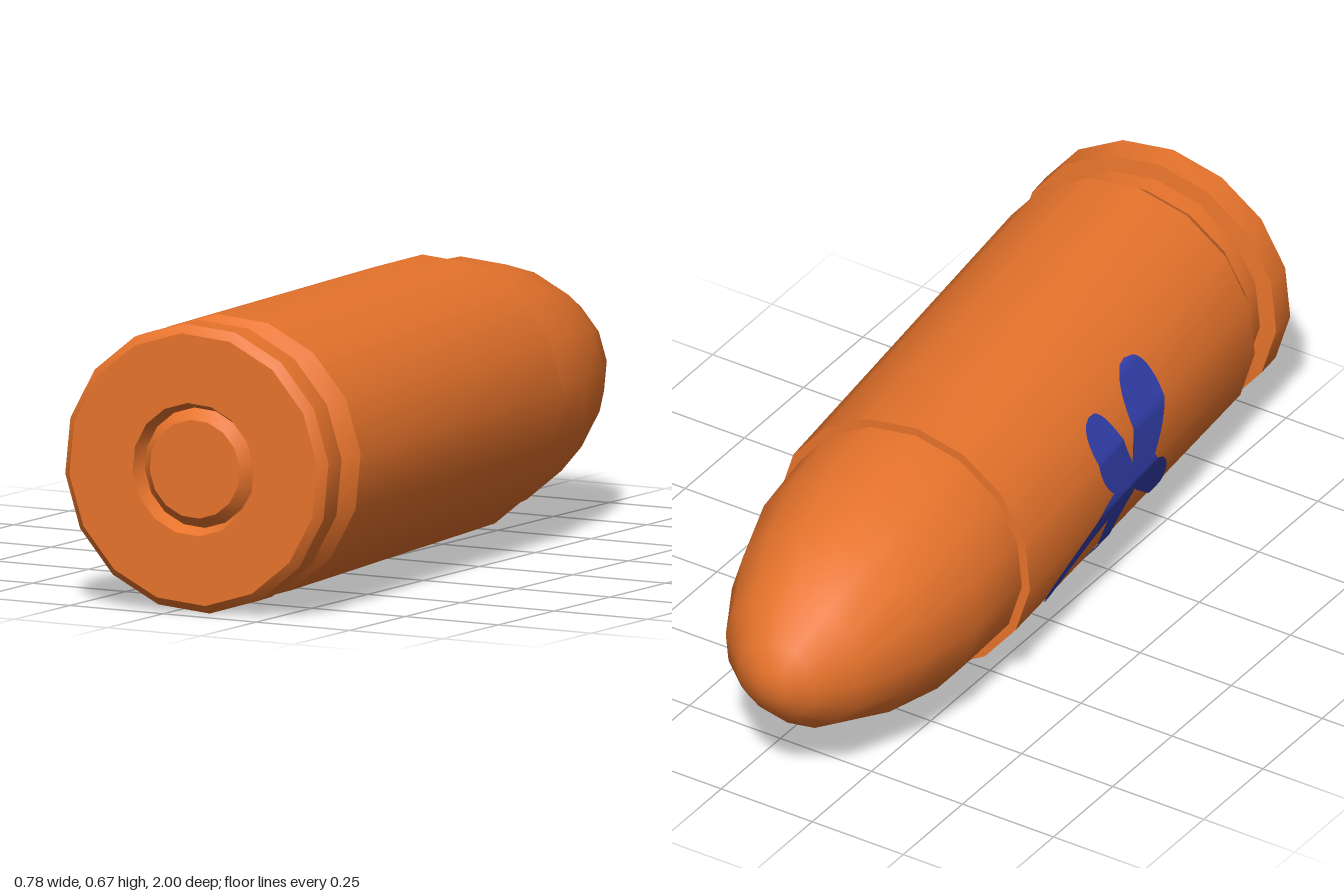
import * as THREE from 'three';
import { toCreasedNormals } from 'three/addons/utils/BufferGeometryUtils.js';

const SIDES = 16;
const STEP = (Math.PI * 2) / SIDES;
const START = THREE.MathUtils.degToRad(16.9); // turns the corners of the polygon

// Radius of the case at distance t from the base
const caseRadius = (t) => THREE.MathUtils.mapLinear(t, 0.195, 1.3, 0.336, 0.327);

function turned(name, profile, crease, material) {
  const points = profile.map(([r, t]) => new THREE.Vector2(r, t));
  const geometry = new THREE.LatheGeometry(points, SIDES, START);
  const mesh = new THREE.Mesh(toCreasedNormals(geometry, crease), material);
  mesh.name = name;
  return mesh;
}

// Point just above the faceted case, from axial distance and arc height
function onCase(t, arc) {
  const angle = Math.PI - arc / 0.33;
  const phi = Math.PI / 2 - angle - START;
  const inFacet = phi - Math.floor(phi / STEP) * STEP - STEP / 2;
  const r = (caseRadius(t) * Math.cos(STEP / 2)) / Math.cos(inFacet) + 0.004;
  return [r * Math.cos(angle), t, r * Math.sin(angle)];
}

// Thin painted band wrapped on the case, following a path of [t, arc]
function paintedBand(name, path, width, material) {
  const curve = new THREE.SplineCurve(path.map((p) => new THREE.Vector2(...p)));
  const along = 28, across = 8;
  const positions = [], index = [];
  for (let i = 0; i <= along; i++) {
    const u = i / along;
    const p = curve.getPoint(u);
    const d = curve.getTangent(u);
    const half = width(u);
    for (let j = 0; j <= across; j++) {
      const k = ((j / across) * 2 - 1) * half;
      positions.push(...onCase(p.x - d.y * k, p.y + d.x * k));
      if (i < along && j < across) {
        const a = i * (across + 1) + j, b = a + across + 1;
        index.push(a, b, a + 1, b, b + 1, a + 1);
      }
    }
  }
  const geometry = new THREE.BufferGeometry();
  geometry.setAttribute('position', new THREE.Float32BufferAttribute(positions, 3));
  geometry.setIndex(index);
  geometry.computeVertexNormals();
  const mesh = new THREE.Mesh(geometry, material);
  mesh.name = name;
  return mesh;
}

export function createModel() {
  const copper = new THREE.MeshStandardMaterial({ color: 0xe8742c });
  copper.name = 'copper';
  const blue = new THREE.MeshStandardMaterial({ color: 0x3441b0, side: THREE.DoubleSide });
  blue.name = 'blue paint';

  const model = new THREE.Group();
  model.name = 'cartridge';

  // Base button in its recess
  model.add(turned('primer', [[0, 0.008], [0.115, 0.008], [0.14, 0.035]], 0.4, copper));

  // Rim, groove and slightly tapered case
  model.add(turned('case', [
    [0.14, 0.035], [0.155, 0], [0.317, 0], [0.337, 0.02], [0.337, 0.09],
    [0.297, 0.095], [0.297, 0.145], [0.336, 0.195], [0.327, 1.3], [0.3, 1.3],
  ], 0.5, copper));

  // Rounded nose
  model.add(turned('nose', [
    [0.306, 1.295], [0.296, 1.5], [0.25, 1.683], [0.179, 1.85],
    [0.098, 1.94], [0.04, 1.97], [0, 1.974],
  ], 0.9, copper));

  // Blue splash on the right side: two lobes up, three strokes down
  const splash = new THREE.Group();
  splash.name = 'paintSplash';
  const lobe = (w) => (u) => 0.024 * (1 - u) + w * Math.sqrt(Math.max(0, Math.sin(Math.PI * u ** 1.5)));
  const taper = (w) => (u) => w * Math.sqrt(1 - u) + 0.002;
  const oval = (w) => (u) => w * Math.sqrt(Math.max(0, Math.sin(Math.PI * u)));
  splash.add(
    paintedBand('middle', [[0.68, -0.035], [0.8, -0.03], [0.98, -0.055]], oval(0.036), blue),
    paintedBand('rearLobe', [[0.77, -0.03], [0.7, 0.09], [0.685, 0.24]], lobe(0.066), blue),
    paintedBand('frontLobe', [[0.81, -0.03], [0.875, 0.07], [0.9, 0.203]], lobe(0.05), blue),
    paintedBand('frontStroke', [[0.86, -0.04], [0.98, -0.075], [1.17, -0.157]], taper(0.034), blue),
    paintedBand('middleStroke', [[0.82, -0.04], [0.87, -0.13], [0.89, -0.265]], taper(0.05), blue),
    paintedBand('rearStroke', [[0.77, -0.03], [0.67, -0.09], [0.595, -0.165]], lobe(0.036), blue),
  );
  model.add(splash);

  // Lay the body down, nose to the back and slightly turned
  model.rotation.set(-Math.PI / 2 - 0.003, THREE.MathUtils.degToRad(5.6), 0, 'YXZ');
  model.position.set(0.06, 0.337, 0.965);

  const root = new THREE.Group();
  root.name = 'model';
  root.add(model);
  return root;
}
